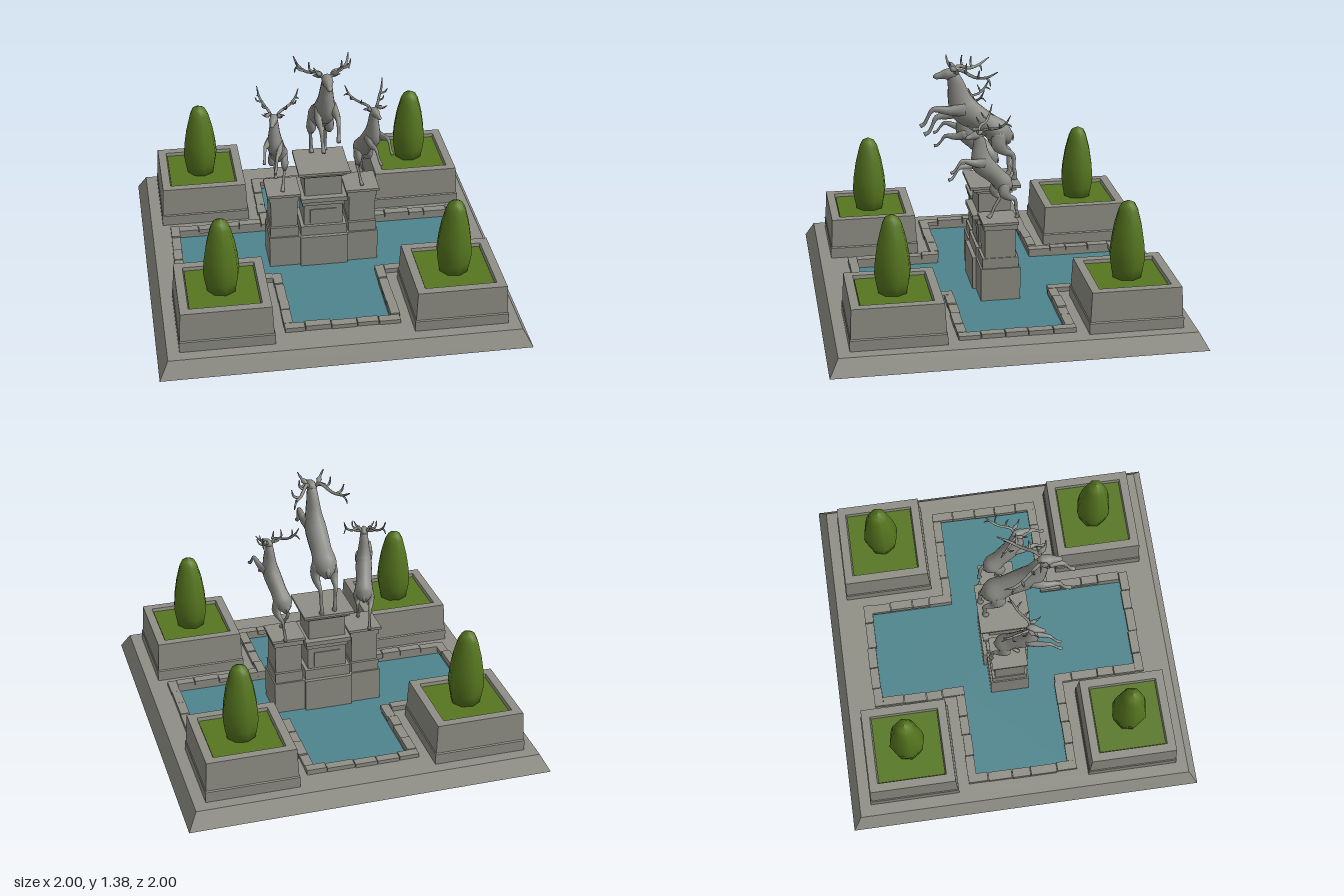
import * as THREE from 'three';

const bronze = new THREE.MeshStandardMaterial({ color: 0x8c8c87 });
const stone = new THREE.MeshStandardMaterial({ color: 0x8f8f86, flatShading: true });
const water = new THREE.MeshStandardMaterial({ color: 0x4d848d, side: THREE.DoubleSide });
const grass = new THREE.MeshStandardMaterial({ color: 0x56761f });
const leaf = new THREE.MeshStandardMaterial({ color: 0x56761f });

let seed = 7;
const rand = () => (seed = (seed * 16807) % 2147483647) / 2147483647;

function add(parent, name, geometry, material, x = 0, y = 0, z = 0) {
  const mesh = new THREE.Mesh(geometry, material);
  mesh.name = name;
  mesh.position.set(x, y, z);
  parent.add(mesh);
  return mesh;
}

function addGroup(parent, name, x = 0, y = 0, z = 0) {
  const group = new THREE.Group();
  group.name = name;
  group.position.set(x, y, z);
  parent.add(group);
  return group;
}

function box(parent, name, x0, x1, y0, y1, z0, z1) {
  add(parent, name, new THREE.BoxGeometry(x1 - x0, y1 - y0, z1 - z0), stone,
    (x0 + x1) / 2, (y0 + y1) / 2, (z0 + z1) / 2);
}

// Smooth limb through points [x, y, z, half width, half depth], closed at both ends
function limb(points, sides = 10, steps = 3, ref = new THREE.Vector3(1, 0, 0)) {
  const path = new THREE.CatmullRomCurve3(points.map(p => new THREE.Vector3(p[0], p[1], p[2])));
  const size = new THREE.CatmullRomCurve3(points.map(p => new THREE.Vector3(p[3], p[4] ?? p[3], 0)));
  const n = (points.length - 1) * steps, pos = [], index = [];
  for (let i = -1; i <= n + 1; i++) {
    const t = Math.min(Math.max(i / n, 0), 1);
    const c = path.getPoint(t), r = size.getPoint(t), tan = path.getTangent(t);
    const side = ref.clone().addScaledVector(tan, -ref.dot(tan)).normalize();
    const up = new THREE.Vector3().crossVectors(tan, side);
    const k = i < 0 || i > n ? 0.02 : 1;
    for (let j = 0; j < sides; j++) {
      const a = j / sides * Math.PI * 2;
      const p = c.clone().addScaledVector(side, Math.cos(a) * k * Math.max(r.x, 0.001))
        .addScaledVector(up, Math.sin(a) * k * Math.max(r.y, 0.001));
      pos.push(p.x, p.y, p.z);
    }
  }
  for (let i = 0; i < n + 2; i++) {
    for (let j = 0; j < sides; j++) {
      const a = i * sides + j, b = i * sides + (j + 1) % sides;
      index.push(a, b, a + sides, b, b + sides, a + sides);
    }
  }
  const g = new THREE.BufferGeometry();
  g.setAttribute('position', new THREE.Float32BufferAttribute(pos, 3));
  g.setIndex(index);
  g.computeVertexNormals();
  return g;
}

// Cross outline of the pool: arm half width a, half lengths lx and lz
function crossPoints(a, lx, lz) {
  return [[a, a], [a, lz], [-a, lz], [-a, a], [-lx, a], [-lx, -a], [-a, -a],
    [-a, -lz], [a, -lz], [a, -a], [lx, -a], [lx, a]].map(p => new THREE.Vector2(...p));
}

const square = (x, y, h) => [[-h, -h], [h, -h], [h, h], [-h, h]].map(p => new THREE.Vector2(x + p[0], y + p[1]));

// Slab with sloping rim, pool opening and planter sockets
function buildBase(group) {
  const shape = new THREE.Shape(square(0, 0, 1));
  shape.holes.push(new THREE.Path(crossPoints(0.27, 0.805, 0.755)));
  for (const x of [-0.63, 0.63]) for (const y of [-0.63, 0.63]) shape.holes.push(new THREE.Path(square(x, y, 0.245)));
  const g = new THREE.ExtrudeGeometry(shape, { depth: 0.09, bevelEnabled: false });
  g.rotateX(-Math.PI / 2);
  const p = g.attributes.position;
  for (let i = 0; i < p.count; i++) {
    if (p.getY(i) > 0.08 && Math.abs(p.getX(i)) > 0.99) p.setXYZ(i, p.getX(i) * 0.95, 0.09, p.getZ(i) * 0.95);
  }
  g.computeVertexNormals();
  add(group, 'baseSlab', g, stone);
  const w = new THREE.ShapeGeometry(new THREE.Shape(crossPoints(0.27, 0.805, 0.755)));
  add(group, 'water', w.rotateX(-Math.PI / 2), water, 0, 0.062, 0);
}

// Row of uneven kerb stones along z from z0 to z1, centred on x
function kerbRow(parent, x, z0, z1, count) {
  const cuts = Array.from({ length: count + 1 }, (_, i) =>
    z0 + (z1 - z0) * (i + (i > 0 && i < count ? (rand() - 0.5) * 0.3 : 0)) / count);
  for (let i = 0; i < count; i++) {
    const shift = (rand() - 0.5) * 0.008;
    box(parent, 'kerbStone', x - 0.025 + shift, x + 0.025 + shift, 0.085, 0.11 + rand() * 0.01,
      cuts[i] + 0.002, cuts[i + 1] - 0.002);
  }
}

function buildKerb(group) {
  for (let k = 0; k < 4; k++) {
    const arm = addGroup(group, 'kerbArm');
    arm.rotation.y = k * Math.PI / 2;
    const inner = k % 2 ? 0.795 : 0.745, start = k % 2 ? 0.315 : 0.265;
    for (const s of [-1, 1]) kerbRow(arm, s * 0.29, start, inner, 4);
    const end = addGroup(arm, 'kerbEnd');
    end.rotation.y = Math.PI / 2;
    kerbRow(end, -inner - 0.025, -0.315, 0.315, 5);
  }
}

// Square stone planter with lawn and a clipped conical shrub
function buildPlanter(model, x, z) {
  const planter = addGroup(model, 'planter', x, 0, z);
  const profile = [[0, 0.04], [0.245, 0.04], [0.245, 0.09], [0.255, 0.09], [0.255, 0.15], [0.25, 0.156],
    [0.242, 0.32], [0.195, 0.32], [0.188, 0.285], [0, 0.285]];
  const tub = new THREE.LatheGeometry(profile.map(p => new THREE.Vector2(p[0] * Math.SQRT2, p[1])), 4, Math.PI / 4);
  add(planter, 'planterTub', tub, stone);
  add(planter, 'lawn', new THREE.BoxGeometry(0.377, 0.015, 0.377), grass, 0, 0.295, 0);
  const outline = [[0, 0.29], [0.078, 0.29], [0.092, 0.36], [0.101, 0.42], [0.094, 0.5], [0.079, 0.59],
    [0.055, 0.68], [0.036, 0.717], [0, 0.735]];
  add(planter, 'shrub', new THREE.LatheGeometry(outline.map(p => new THREE.Vector2(...p)), 8), leaf).rotation.y = 0.2;
}

// Stacked courses [half width, half depth, bottom, top]
function buildPedestal(model, name, x, courses) {
  const pedestal = addGroup(model, name);
  for (const [w, d, y0, y1] of courses) box(pedestal, 'course', x - w, x + w, y0, y1, -d, d);
}

function buildAntler(parent, s) {
  const antler = addGroup(parent, s > 0 ? 'leftAntler' : 'rightAntler');
  const branches = [
    [[0.018, -0.01, 0, 0.011], [0.04, 0.012, -0.03, 0.01], [0.09, -0.018, -0.1, 0.009], [0.13, -0.012, -0.16, 0.008], [0.15, 0.022, -0.22, 0.003]],
    [[0.03, 0.008, -0.015, 0.008], [0.052, 0.03, 0.022, 0.008], [0.075, 0.07, 0.03, 0.003]],
    [[0.062, 0, -0.06, 0.008], [0.085, 0.02, -0.055, 0.007], [0.088, 0.06, -0.06, 0.003]],
    [[0.105, -0.018, -0.12, 0.008], [0.135, -0.005, -0.115, 0.007], [0.148, 0.035, -0.12, 0.003]],
    [[0.13, -0.012, -0.16, 0.007], [0.143, -0.03, -0.175, 0.006], [0.15, -0.055, -0.18, 0.003]],
  ];
  for (const b of branches) {
    add(antler, 'antlerBranch', limb(b.map(([x, ...r]) => [s * x, ...r]), 6, 3, new THREE.Vector3(0.2, 0.95, 0.25)), bronze);
  }
}

// Rearing stag; rear leans the torso back at the hips, strides shift the hind hooves along z
function buildStag(parent, name, rear, antlerTilt, strides) {
  const stag = addGroup(parent, name);
  const hips = addGroup(stag, 'torso', 0, 0.25, -0.06);
  hips.rotation.x = -rear;
  const torso = addGroup(hips, 'upperBody', 0, -0.25, 0.06);
  add(torso, 'body', limb([[0, 0.2, -0.098, 0.012], [0, 0.23, -0.08, 0.047, 0.048], [0, 0.27, -0.04, 0.068, 0.07],
    [0, 0.315, 0.02, 0.058, 0.064], [0, 0.36, 0.085, 0.06, 0.07], [0, 0.41, 0.15, 0.058, 0.08], [0, 0.48, 0.18, 0.044, 0.064],
    [0, 0.55, 0.195, 0.034, 0.048], [0, 0.61, 0.215, 0.026, 0.033], [0, 0.63, 0.225, 0.01]], 14), bronze);
  add(torso, 'tail', limb([[0, 0.28, -0.09, 0.012], [0, 0.25, -0.115, 0.014, 0.01], [0, 0.215, -0.122, 0.003]], 8), bronze);

  // Head kept level, with ears and antlers
  const head = addGroup(torso, 'headGroup', 0, 0.635, 0.21);
  head.rotation.x = rear;
  add(head, 'head', limb([[0, -0.013, -0.025, 0.01], [0, -0.015, -0.005, 0.029, 0.03], [0, -0.018, 0.03, 0.03, 0.031],
    [0, -0.025, 0.07, 0.018, 0.021], [0, -0.03, 0.098, 0.015, 0.016], [0, -0.032, 0.112, 0.005]], 12), bronze);
  const antlers = addGroup(head, 'antlers');
  antlers.rotation.x = antlerTilt;

  for (const s of [-1, 1]) {
    buildAntler(antlers, s);
    add(head, 'ear', limb([[s * 0.02, -0.005, -0.005, 0.007, 0.005], [s * 0.045, 0.001, -0.012, 0.013, 0.006],
      [s * 0.075, 0, -0.02, 0.002]], 8, 3, new THREE.Vector3(0, 1, 0)), bronze);
    const leg = [[0.042, 0.28, -0.04, 0.024, 0.04], [0.05, 0.215, -0.03, 0.028, 0.044],
      [0.05, 0.172, -0.062, 0.019, 0.026], [0.045, 0.145, -0.108, 0.011, 0.015], [0.042, 0.075, -0.11, 0.009, 0.011],
      [0.04, 0.025, -0.118, 0.011, 0.012], [0.04, 0, -0.108, 0.014, 0.018]];
    const stride = strides[s > 0 ? 1 : 0];
    add(stag, 'hindLeg', limb(leg.map(([x, y, z, ...r]) =>
      [s * x, y, z + stride * Math.max(0, 1 - y / 0.25), ...r])), bronze);
  }
  add(torso, 'leftForeleg', limb([[0.04, 0.42, 0.155, 0.022, 0.04], [0.045, 0.42, 0.24, 0.02, 0.026], [0.042, 0.43, 0.33, 0.013, 0.015],
    [0.04, 0.39, 0.358, 0.009], [0.037, 0.35, 0.378, 0.01], [0.035, 0.337, 0.4, 0.012]]), bronze);
  add(torso, 'rightForeleg', limb([[-0.04, 0.41, 0.15, 0.022, 0.04], [-0.045, 0.37, 0.22, 0.02, 0.026], [-0.043, 0.357, 0.3, 0.013, 0.015],
    [-0.042, 0.31, 0.325, 0.009], [-0.04, 0.275, 0.345, 0.01], [-0.04, 0.262, 0.37, 0.012]]), bronze);
  return stag;
}

export function createModel() {
  const model = new THREE.Group();
  model.name = 'stagFountain';
  buildBase(model);
  buildKerb(model);
  for (const x of [-0.63, 0.63]) for (const z of [-0.63, 0.63]) buildPlanter(model, x, z);

  // Stepped central pedestal with raised panels, flanked by two lower ones
  buildPedestal(model, 'centralPedestal', 0, [[0.135, 0.13, 0.05, 0.25], [0.13, 0.108, 0.25, 0.31], [0.11, 0.09, 0.31, 0.44],
    [0.075, 0.096, 0.32, 0.41], [0.12, 0.1, 0.44, 0.475], [0.13, 0.128, 0.475, 0.5], [0.105, 0.09, 0.5, 0.62],
    [0.115, 0.1, 0.62, 0.635], [0.125, 0.12, 0.635, 0.655], [0.145, 0.142, 0.655, 0.67]]);
  for (const s of [-1, 1]) {
    buildPedestal(model, 'sidePedestal', s * 0.222, [[0.087, 0.11, 0.05, 0.25], [0.08, 0.1, 0.25, 0.31],
      [0.075, 0.085, 0.31, 0.475], [0.084, 0.092, 0.475, 0.505], [0.095, 0.1, 0.505, 0.52]]);
    const stag = buildStag(model, 'sideStag', 0.18, 0.6, [0.16, -0.03]);
    stag.position.set(s * 0.245, 0.52, 0.01);
    stag.rotation.y = s * 0.28;
    stag.scale.set(s * 0.76, 0.76, 0.76);
  }
  buildStag(model, 'centralStag', 0, 0, [0.01, -0.01]).position.y = 0.67;
  return model;
}
